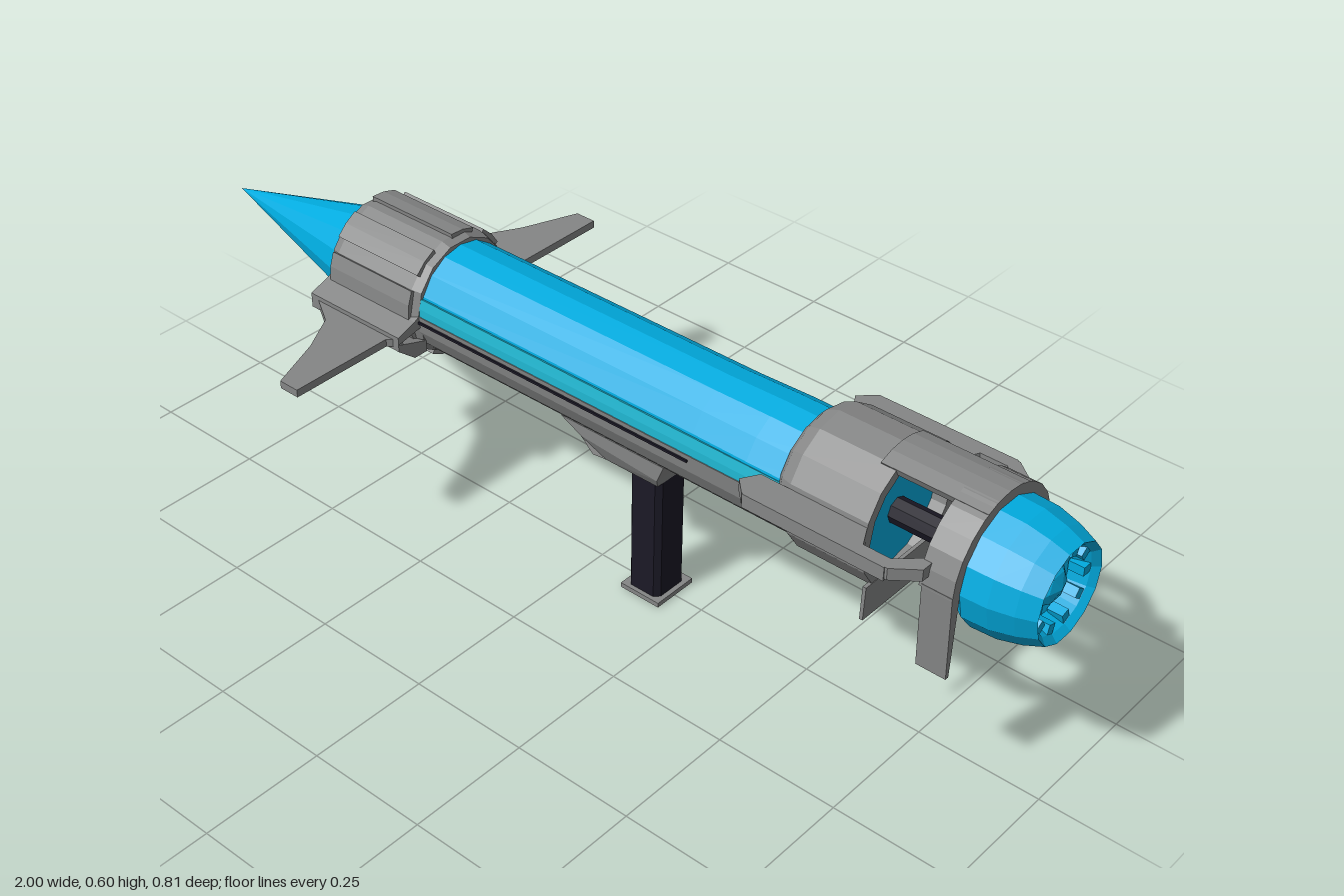
import * as THREE from 'three';

function material(name, color) {
  const m = new THREE.MeshStandardMaterial({ color });
  m.name = name;
  return m;
}
const blue = material('bright blue', 0x00abdf);
const teal = material('teal blue', 0x1fb3cd);
const grey = material('metal grey', 0x858686);
const navy = material('dark navy', 0x1b1926);

const CY = 0.447; // height of the tube axis

export function createModel() {
  const root = new THREE.Group();
  root.name = 'shoulderLauncher';

  // Adds a faceted mesh
  function add(name, geo, mat, x = 0, y = 0, z = 0) {
    const g = geo.index ? geo.toNonIndexed() : geo;
    g.computeVertexNormals();
    const m = new THREE.Mesh(g, mat);
    m.name = name;
    m.position.set(x, y, z);
    root.add(m);
    return m;
  }
  // Solid of revolution along x from [x, radius] points
  function turned(name, pts, sides, mat, y) {
    const g = new THREE.LatheGeometry(pts.map(([x, r]) => new THREE.Vector2(r, x)), sides);
    return add(name, g.rotateZ(-Math.PI / 2), mat, 0, y);
  }
  const shapeOf = (pts) => new THREE.Shape(pts.map(([a, b]) => new THREE.Vector2(a, b)));
  // Section given as [z, y], extruded from x0 to x1
  function alongX(name, pts, x0, x1, mat) {
    const g = new THREE.ExtrudeGeometry(shapeOf(pts.map(([z, y]) => [-z, y])), { depth: x1 - x0, bevelEnabled: false });
    return add(name, g.rotateY(Math.PI / 2), mat, x0);
  }
  // Plan given as [x, z], extruded from y0 to y1
  function flat(name, pts, y0, y1, mat) {
    const g = new THREE.ExtrudeGeometry(shapeOf(pts), { depth: y1 - y0, bevelEnabled: false });
    return add(name, g.rotateX(Math.PI / 2), mat, 0, y1);
  }
  // Arc section between two radii, angles in degrees from +z
  function band(rOut, rIn, a0, a1, n, cy = CY) {
    const pts = [];
    const at = (r, a) => pts.push([r * Math.cos(a * Math.PI / 180), cy + r * Math.sin(a * Math.PI / 180)]);
    for (let i = 0; i <= n; i++) at(rOut, a0 + (a1 - a0) * i / n);
    for (let i = n; i >= 0; i--) at(rIn, a0 + (a1 - a0) * i / n);
    return pts;
  }

  // Main tube and nose
  turned('tube', [[-0.6, 0], [-0.6, 0.1], [-0.4, 0.111], [0.3, 0.111], [0.42, 0.114], [0.66, 0.114], [0.66, 0]], 16, blue, CY);
  turned('noseCone', [[-1, 0], [-0.6, 0.1], [-0.59, 0]], 14, blue, 0.436);
  alongX('lowerCradle', band(0.117, 0.09, 178, 362, 10), -0.37, 0.52, grey);

  // Front collar with raised panels
  turned('frontCollar', [[-0.603, 0.09], [-0.6, 0.118], [-0.58, 0.125], [-0.38, 0.125], [-0.36, 0.118], [-0.357, 0.09]], 14, grey, CY);
  for (const a of [12, 52, 100, 140, 200, 240, 290, 330]) {
    alongX('collarPanel', band(0.13, 0.11, a - 13, a + 13, 2), -0.59, -0.375, grey);
  }

  // Tail bulb with a hollow faceted nozzle
  turned('tailBulb', [[0.8, 0], [0.84, 0.1], [0.87, 0.121], [0.92, 0.119], [0.965, 0.108], [1, 0.094],
    [0.988, 0.082], [0.955, 0.07], [0.935, 0]], 14, blue, 0.456);
  add('nozzleCore', new THREE.IcosahedronGeometry(0.05, 1), blue, 0.935, 0.456, 0);
  for (let i = 0; i < 10; i++) {
    const a = i * Math.PI / 5;
    const tooth = add('nozzleTooth', new THREE.BoxGeometry(0.03, 0.018, 0.03), blue,
      0.972, 0.456 + 0.076 * Math.sin(a), 0.076 * Math.cos(a));
    tooth.rotation.x = -a;
  }
  add('engineRod', new THREE.CylinderGeometry(0.025, 0.025, 0.18, 8).rotateZ(Math.PI / 2), navy, 0.74, 0.452, 0);

  // Rear shroud: hollow sleeve with a lower end plate, roof spine and end arch
  turned('rearShroud', [[0.493, 0.112], [0.505, 0.126], [0.53, 0.136], [0.69, 0.136], [0.69, 0.116], [0.6, 0.112]], 16, grey, 0.458);
  alongX('shroudEndPlate', [[-0.118, 0.37], [0.118, 0.37], [0.121, 0.302], [-0.121, 0.302]], 0.684, 0.691, grey);
  alongX('roofSpine', band(0.141, 0.124, 65, 115, 4, 0.455), 0.66, 0.87, grey);
  alongX('endArch', band(0.141, 0.119, 0, 180, 12, 0.455), 0.805, 0.87, grey);

  // Parts mirrored on both sides
  for (const s of [1, -1]) {
    const mir = (pts) => pts.map(([a, b]) => [a, b * s]);
    const mirZ = (pts) => pts.map(([z, y]) => [z * s, y]);
    flat('fin', mir([[-0.6, 0.16], [-0.56, 0.185], [-0.52, 0.21], [-0.475, 0.29], [-0.43, 0.405], [-0.385, 0.405], [-0.385, 0.18], [-0.36, 0.16]]),
      0.405, 0.421, grey);
    alongX('finUpperStrut', mirZ([[0.1, 0.46], [0.128, 0.445], [0.172, 0.43], [0.172, 0.414], [0.1, 0.428]]), -0.6, -0.36, grey);
    alongX('finLowerStrut', mirZ([[0.1, 0.39], [0.172, 0.414], [0.172, 0.399], [0.132, 0.366], [0.1, 0.366]]), -0.6, -0.36, grey);
    // Rail with a bevelled notch beside the window
    flat('sideRail', mir([[0.45, 0.162], [0.478, 0.19], [0.775, 0.19], [0.82, 0.155], [0.82, 0.128], [0.805, 0.128],
      [0.765, 0.166], [0.71, 0.166], [0.69, 0.128], [0.47, 0.128]]), 0.478, 0.502, grey);
    alongX('railLip', mirZ([[0.17, 0.476], [0.192, 0.474], [0.192, 0.502], [0.17, 0.502]]), 0.48, 0.77, grey);
    alongX('archLeg', mirZ([[0.119, 0.46], [0.141, 0.46], [0.134, 0.285], [0.126, 0.285]]), 0.81, 0.87, grey);
    // Lighter flank panel and dark seam along the tube
    alongX('flankPanel', mirZ(band(0.1155, 0.107, 0, 20, 2)), -0.36, 0.5, teal);
    flat('seam', mir([[-0.36, 0.112], [-0.36, 0.119], [0.3, 0.119], [0.3, 0.112]]), 0.436, 0.441, navy);
  }

  // Tapered mount under the tube
  const mount = [[-0.05, 0.342], [0.0, 0.318], [0.03, 0.29], [0.05, 0.279], [0.175, 0.279], [0.185, 0.305], [0.2, 0.342]];
  const mountGeo = new THREE.ExtrudeGeometry(shapeOf(mount), { depth: 0.12, bevelEnabled: false });
  const p = mountGeo.attributes.position;
  for (let i = 0; i < p.count; i++) {
    if (p.getY(i) < 0.285) p.setZ(i, 0.06 + (p.getZ(i) - 0.06) * 0.75);
  }
  add('mount', mountGeo, grey, 0, 0, -0.06);

  // Grip with chamfered corners and foot plate
  const grip = [[0.1, -0.03], [0.11, -0.041], [0.165, -0.041], [0.175, -0.03], [0.175, 0.03], [0.165, 0.041], [0.11, 0.041], [0.1, 0.03]];
  flat('grip', grip, 0.01, 0.282, navy);
  flat('footPlate', [[0.092, -0.05], [0.185, -0.05], [0.185, 0.05], [0.092, 0.05]], 0.001, 0.011, grey);
  add('footSocket', new THREE.CylinderGeometry(0.02, 0.02, 0.004, 10), navy, 0.138, 0.002, 0);

  return root;
}
